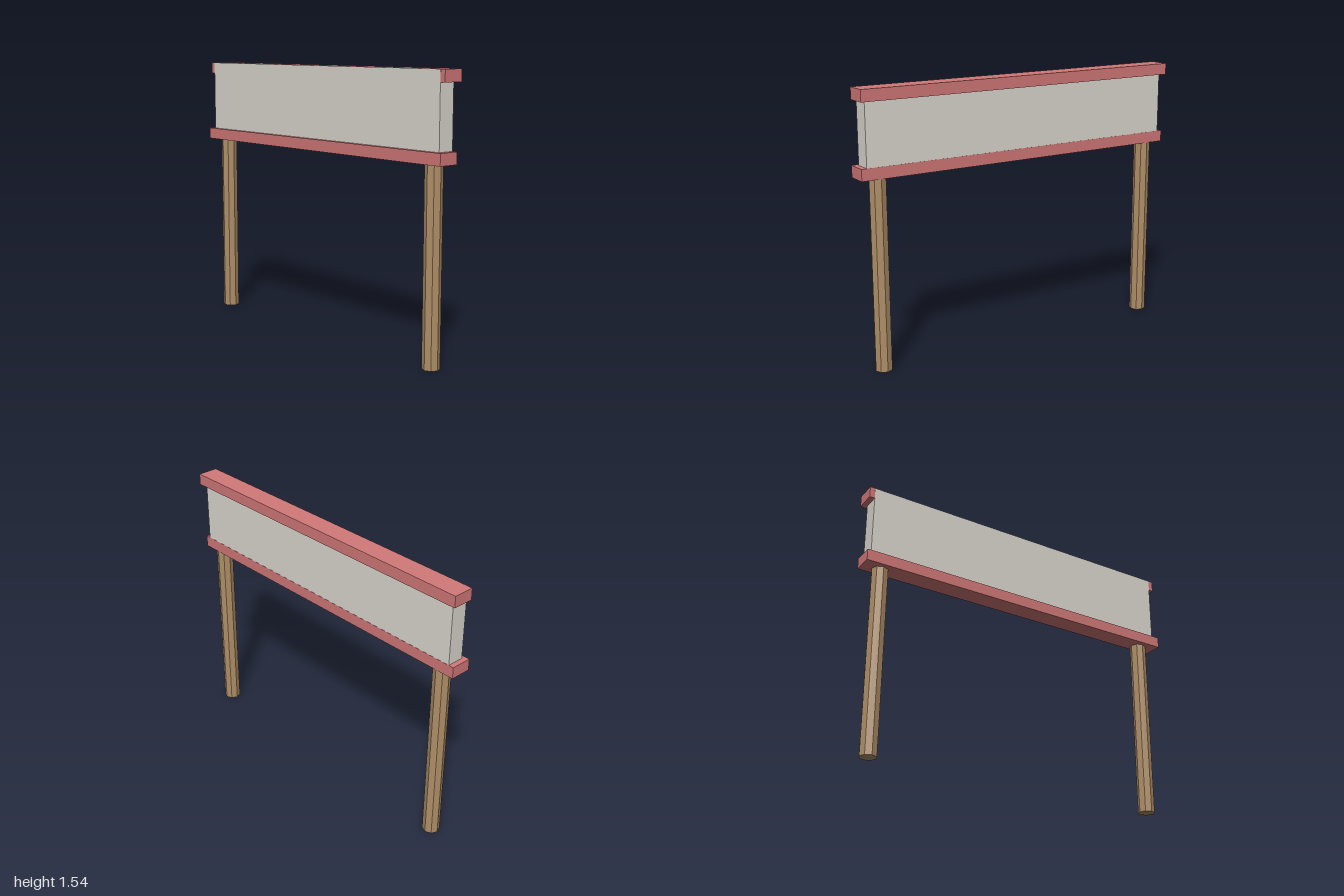
import * as THREE from 'three';

const paint = (color) => new THREE.MeshStandardMaterial({ color, flatShading: true });

// Box given by its minimum and maximum corners
function block(name, material, [x0, y0, z0], [x1, y1, z1]) {
  const mesh = new THREE.Mesh(new THREE.BoxGeometry(x1 - x0, y1 - y0, z1 - z0), material);
  mesh.position.set((x0 + x1) / 2, (y0 + y1) / 2, (z0 + z1) / 2);
  mesh.name = name;
  return mesh;
}

export function createModel() {
  const group = new THREE.Group();
  group.name = 'signBoard';
  const red = paint(0xd27878);
  const cream = paint(0xdcd8d0);
  const wood = paint(0xb08f68);

  // Board panel, flush with the front of the top rail and the back of the lower rail
  group.add(block('panel', cream, [-0.97, 1.08, -0.047], [0.97, 1.544, 0.049]));

  // Rails: the top one overhangs the back, the lower one overhangs the front
  group.add(block('topRail', red, [-1, 1.48, -0.072], [1, 1.545, 0.048]));
  group.add(block('lowerRail', red, [-1, 1.07, -0.048], [1, 1.135, 0.072]));

  // Eight-sided wooden posts
  const postGeometry = new THREE.CylinderGeometry(0.048, 0.048, 1.08, 8);
  for (const side of [-1, 1]) {
    const post = new THREE.Mesh(postGeometry, wood);
    post.position.set(side * 0.89, 0.54, 0);
    post.name = side > 0 ? 'leftPost' : 'rightPost';
    group.add(post);
  }
  return group;
}
